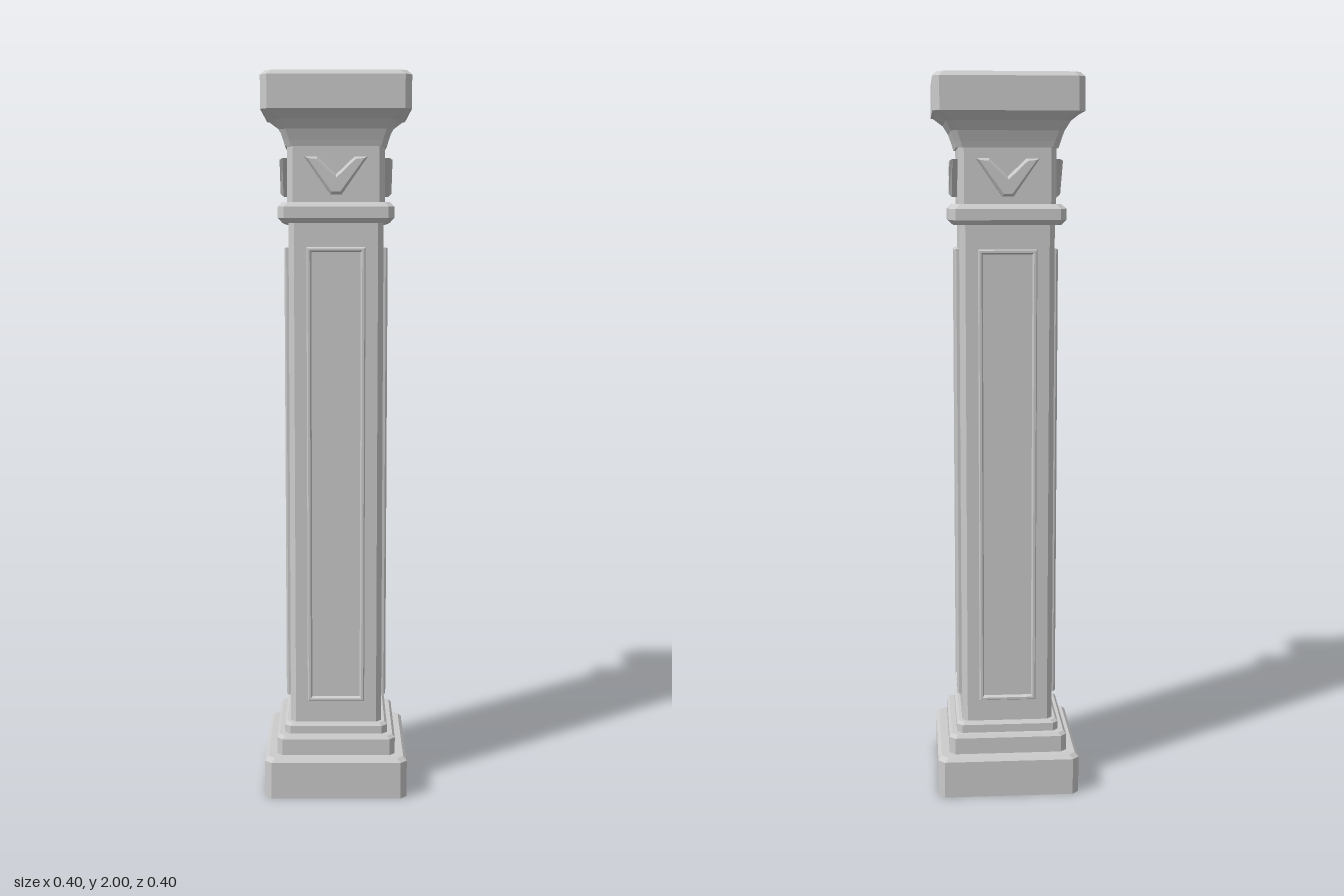
import * as THREE from 'three';

const stone = new THREE.MeshStandardMaterial({ color: 0xcccccc });
stone.name = 'stone';

// Corner points of a rectangle with cut corners, running from +x towards +z
function outline(hx, hz, cut, y) {
  const pts = [];
  for (const [sx, sz] of [[1, 1], [-1, 1], [-1, -1], [1, -1]]) {
    if (cut === 0) { pts.push([sx * hx, y, sz * hz]); continue; }
    const a = [sx * hx, y, sz * (hz - cut)];
    const b = [sx * (hx - cut), y, sz * hz];
    pts.push(...(sx * sz > 0 ? [a, b] : [b, a]));
  }
  return pts;
}

// Faceted solid through a stack of outlines, each [hx, hz, cut, y]
function loft(sections) {
  const rings = sections.map((s) => outline(...s));
  const n = rings[0].length;
  const pos = [];
  const tri = (...pts) => pts.forEach((p) => pos.push(...p));
  for (let i = 0; i < rings.length - 1; i++) {
    for (let j = 0; j < n; j++) {
      const k = (j + 1) % n;
      tri(rings[i][j], rings[i + 1][j], rings[i + 1][k]);
      tri(rings[i][j], rings[i + 1][k], rings[i][k]);
    }
  }
  const low = rings[0];
  const high = rings[rings.length - 1];
  for (let j = 1; j < n - 1; j++) {
    tri(low[0], low[j], low[j + 1]);
    tri(high[0], high[j + 1], high[j]);
  }
  const geo = new THREE.BufferGeometry();
  geo.setAttribute('position', new THREE.Float32BufferAttribute(pos, 3));
  geo.computeVertexNormals();
  return geo;
}

function part(name, geometry) {
  const mesh = new THREE.Mesh(geometry, stone);
  mesh.name = name;
  return mesh;
}

// Square tier from a profile of [halfWidth, y]
const tier = (name, cut, profile) =>
  part(name, loft(profile.map(([h, y]) => [h, h, cut, y])));

// Raised border with a sunken panel, facing +z
function panelGeometry() {
  const halfHeight = 0.638;
  const geo = loft([[0, 0.125], [0, 0.137], [0.003, 0.142], [0.009, 0.142], [0.013, 0.132]]
    .map(([inset, out]) => [0.08 - inset, halfHeight - inset, 0, out]));
  return geo.rotateX(Math.PI / 2).translate(0, 0.902, 0);
}

// Bevelled chevron on the neck, facing +z
function chevronGeometry() {
  const shape = new THREE.Shape([
    [-0.085, 1.78], [-0.015, 1.68], [0.015, 1.68], [0.085, 1.78], [0.05, 1.78], [0, 1.733], [-0.05, 1.78],
  ].map(([x, y]) => new THREE.Vector2(x, y)));
  const geo = new THREE.ExtrudeGeometry(shape, {
    depth: 0.016, bevelEnabled: true, bevelSegments: 1,
    bevelThickness: 0.008, bevelSize: 0.007, bevelOffset: -0.007,
  });
  return geo.translate(0, 0, 0.13);
}

export function createModel() {
  const column = new THREE.Group();
  column.name = 'column';

  // Stepped base
  column.add(tier('plinth', 0.018, [[0.2, 0], [0.2, 0.105], [0.19, 0.115]]));
  column.add(tier('lowerStep', 0.016, [[0.167, 0.11], [0.167, 0.162], [0.16, 0.17]]));
  column.add(tier('upperStep', 0.015, [[0.145, 0.165], [0.145, 0.193], [0.138, 0.2]]));

  // Shaft and collar
  column.add(tier('shaft', 0.015, [[0.129, 0.19], [0.129, 1.62]]));
  column.add(tier('collar', 0.016, [[0.145, 1.605], [0.157, 1.618], [0.157, 1.648], [0.145, 1.66]]));

  // Neck, flared capital and top slab with a shallow recess
  column.add(tier('neck', 0.015, [[0.132, 1.65], [0.132, 1.82]]));
  column.add(tier('capital', 0.016,
    [[0.137, 1.808], [0.142, 1.825], [0.151, 1.852], [0.166, 1.877], [0.197, 1.902]]));
  column.add(tier('topSlab', 0.018,
    [[0.2, 1.9], [0.2, 1.988], [0.188, 2], [0.165, 2], [0.165, 1.97]]));

  // Panel and chevron on each side
  const panel = panelGeometry();
  const chevron = chevronGeometry();
  for (let i = 0; i < 4; i++) {
    const side = new THREE.Group();
    side.name = 'sideOrnament' + (i + 1);
    side.add(part('framedPanel', panel), part('chevron', chevron));
    side.rotation.y = (i * Math.PI) / 2;
    column.add(side);
  }
  return column;
}
